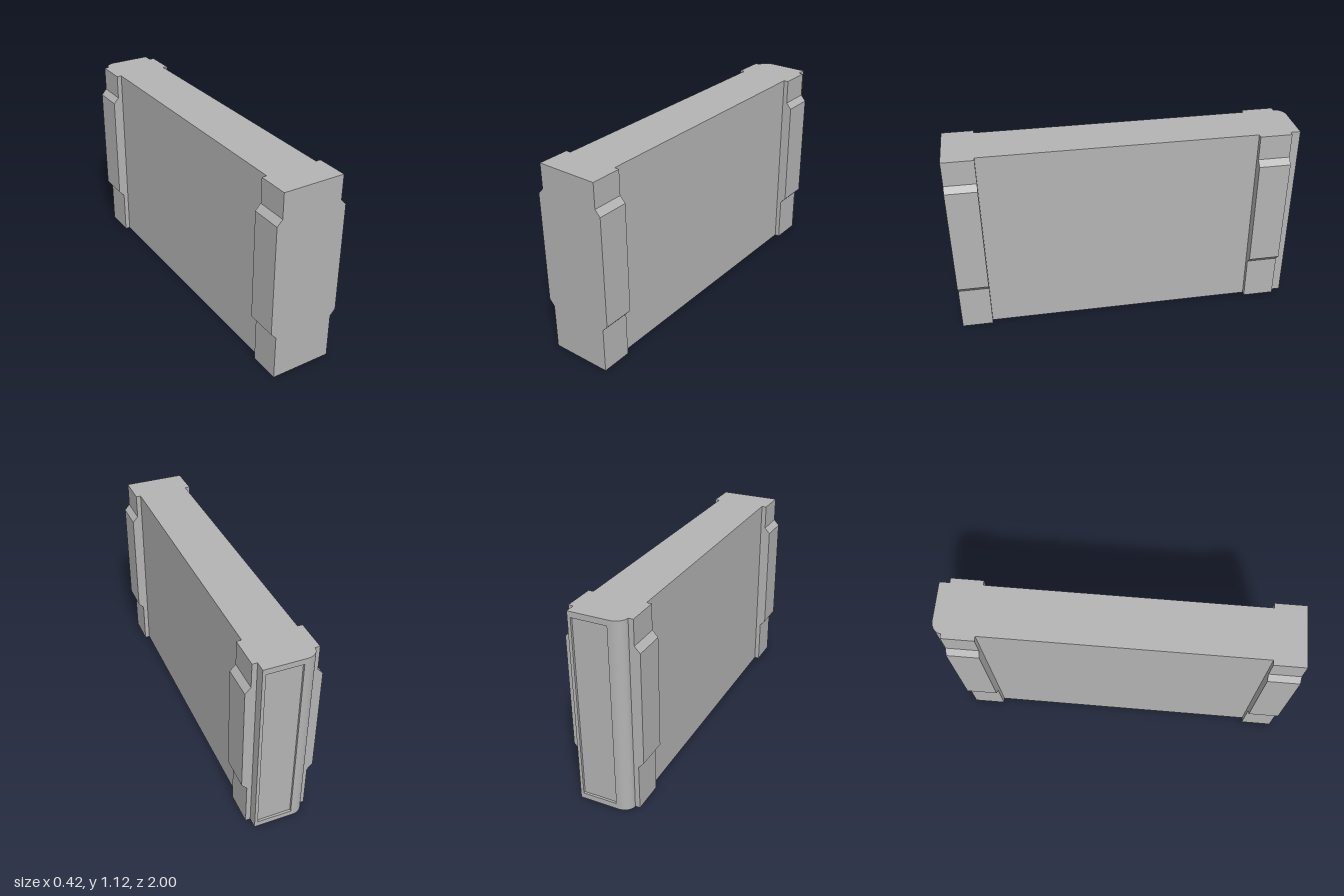
import * as THREE from 'three';

const HEIGHT = 1.12;
const HALF = 0.15; // half thickness of the slab

// Plan outline of the slab (shape y = -z); the back face may have a shallow notch
function planShape(notched) {
  const s = new THREE.Shape();
  s.moveTo(-HALF, -1);
  s.lineTo(HALF, -1);
  s.lineTo(HALF, 1);
  if (notched) {
    s.lineTo(0.132, 1);
    s.lineTo(0.132, 0.987);
    s.lineTo(-0.068, 0.987);
    s.lineTo(-0.068, 1);
  }
  s.lineTo(-0.08, 1);
  s.absellipse(-0.08, 0.942, 0.07, 0.058, Math.PI / 2, Math.PI, false);
  s.closePath();
  return s;
}

function extrude(shape, depth) {
  return new THREE.ExtrudeGeometry(shape, { depth, bevelEnabled: false, curveSegments: 8 });
}

export function createModel() {
  const group = new THREE.Group();
  const grey = new THREE.MeshStandardMaterial({ color: 0xb4b4b4 });
  grey.name = 'plain grey';

  const add = (name, geometry) => {
    const mesh = new THREE.Mesh(geometry, grey);
    mesh.name = name;
    group.add(mesh);
    return mesh;
  };

  // Slab in three layers; the middle one carries the recessed back panel
  const rim = 0.033;
  const layers = [
    ['slabBottom', 0, rim, false],
    ['slabMiddle', rim, HEIGHT - rim, true],
    ['slabTop', HEIGHT - rim, HEIGHT, false],
  ];
  for (const [name, y0, y1, notched] of layers) {
    const geometry = extrude(planShape(notched), y1 - y0);
    geometry.rotateX(-Math.PI / 2);
    add(name, geometry).position.y = y0;
  }

  // Raised side bands with a chamfered thicker middle, at the front and back ends
  const profile = [
    [HALF, 0], [0.178, 0], [0.178, 0.265], [0.209, 0.3],
    [0.209, 0.943], [0.178, 0.977], [0.178, HEIGHT], [HALF, HEIGHT],
  ];
  const bands = [['front', 0.82, 1], ['back', -0.942, -0.758]];
  for (const [end, z0, z1] of bands) {
    for (const side of [1, -1]) {
      const shape = new THREE.Shape(profile.map(([x, y]) => new THREE.Vector2(side * x, y)));
      const name = end + (side > 0 ? 'Left' : 'Right') + 'Band';
      add(name, extrude(shape, z1 - z0)).position.z = z0;
    }
  }

  return group;
}
